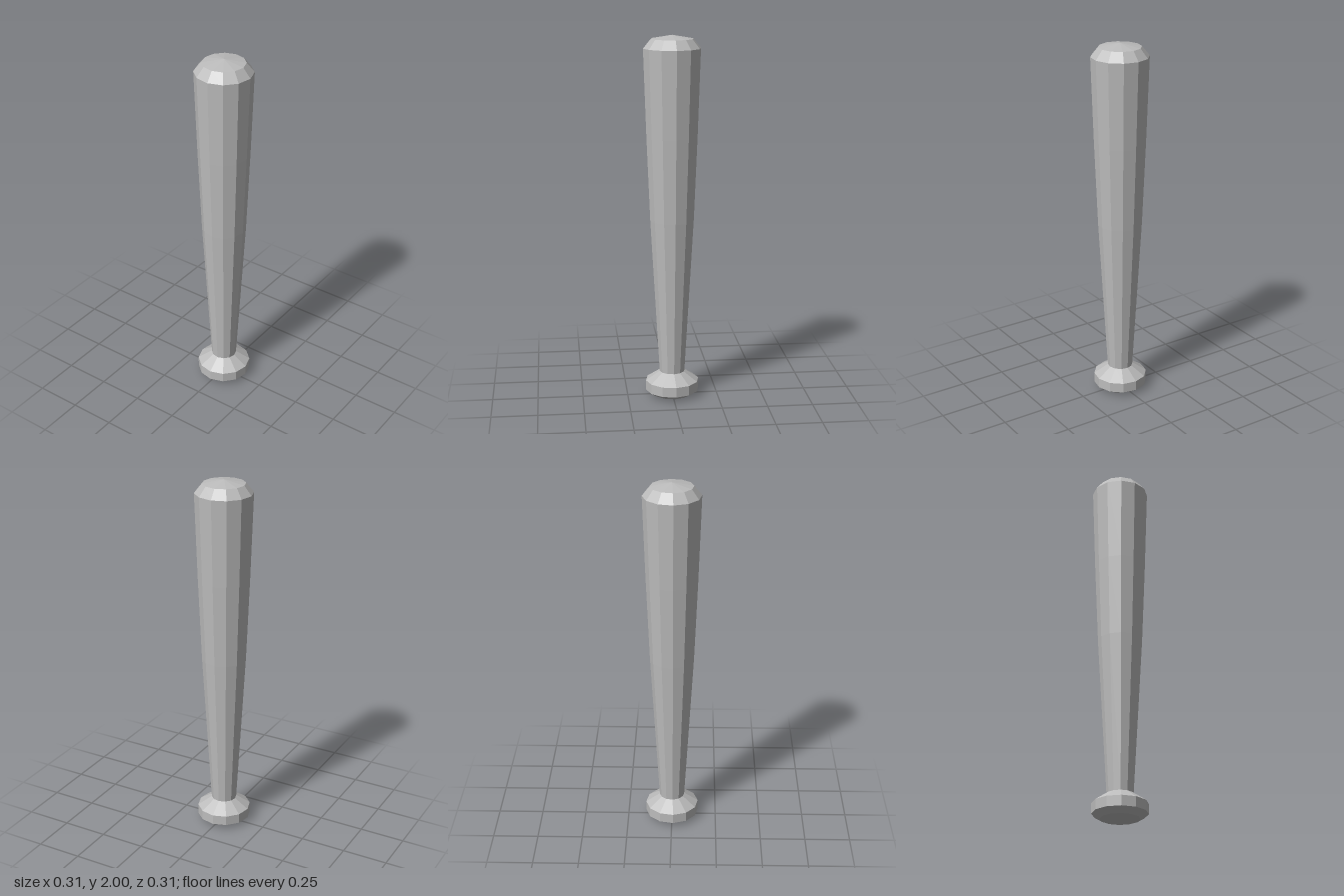
import * as THREE from 'three';

const SIDES = 12;
const TURN = THREE.MathUtils.degToRad(3.5); // slight twist of the facets

// Faceted solid of revolution; profile is [radius, y] from bottom to top
function facetedLathe(name, profile, material) {
  const points = profile.map(([r, y]) => new THREE.Vector2(r, y));
  const geometry = new THREE.LatheGeometry(points, SIDES, TURN).toNonIndexed();
  geometry.computeVertexNormals();
  const mesh = new THREE.Mesh(geometry, material);
  mesh.name = name;
  return mesh;
}

export function createModel() {
  const group = new THREE.Group();
  group.name = 'bat';

  const grey = new THREE.MeshStandardMaterial({ color: 0xbcbcbc, flatShading: true });
  grey.name = 'plain grey';

  // Bevelled knob at the foot of the handle
  group.add(facetedLathe('knob', [
    [0, 0], [0.105, 0.003], [0.148, 0.03], [0.148, 0.085], [0.07, 0.137],
  ], grey));

  // Tapered handle
  group.add(facetedLathe('handle', [[0.07, 0.137], [0.12, 1.0]], grey));

  // Barrel with chamfered, slightly domed tip
  group.add(facetedLathe('barrel', [
    [0.12, 1.0], [0.139, 1.46], [0.155, 1.93], [0.114, 1.98], [0, 2],
  ], grey));

  return group;
}
